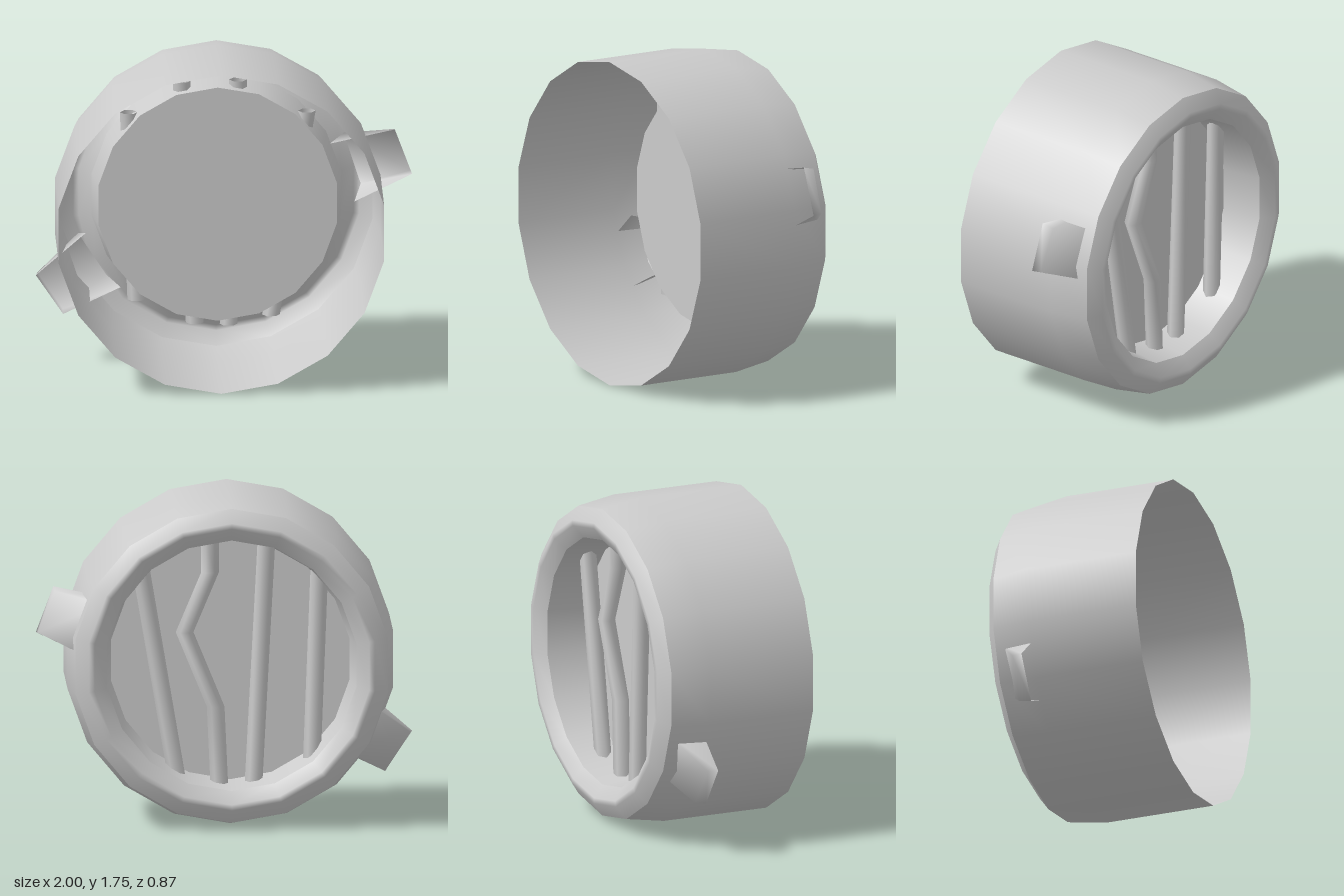
import * as THREE from 'three';

const CX = -0.035, CY = 0.88, SIDES = 18;
const material = new THREE.MeshStandardMaterial({ color: 0xcccccc, side: THREE.DoubleSide });

// Revolved ring around the z axis from [radius, z] points
function ring(name, profile) {
  const geo = new THREE.LatheGeometry(profile.map(([r, z]) => new THREE.Vector2(r, z)), SIDES);
  geo.rotateX(Math.PI / 2);
  const mesh = new THREE.Mesh(geo, material);
  mesh.position.set(CX, CY, 0);
  mesh.name = name;
  return mesh;
}

function indexedMesh(name, positions, index) {
  const geo = new THREE.BufferGeometry();
  geo.setAttribute('position', new THREE.Float32BufferAttribute(positions, 3));
  geo.setIndex(index);
  geo.computeVertexNormals();
  const mesh = new THREE.Mesh(geo, material);
  mesh.name = name;
  return mesh;
}

// Six-sided bar following [x, y] points, listed from top to bottom
function bar(points) {
  const n = 6, z = -0.24, positions = [], index = [];
  points.forEach(([x, y], row) => {
    for (let i = 0; i < n; i++) {
      const a = (i / n) * Math.PI * 2;
      positions.push(x + 0.047 * Math.cos(a), y, z + 0.045 * Math.sin(a));
      if (row > 0) {
        const j = (i + 1) % n, a0 = (row - 1) * n, b0 = row * n;
        index.push(a0 + i, a0 + j, b0 + i, a0 + j, b0 + j, b0 + i);
      }
    }
  });
  return indexedMesh('grilleBar', positions, index);
}

// Hollow sloping lug, open to the front: four front corners, four back corners
function lug(name, front, back) {
  const positions = [...front, ...back].flat();
  const index = [4, 5, 6, 4, 6, 7]; // sloping back
  for (let i = 0; i < 3; i++) { // two sides and the outer end
    index.push(i, i + 1, i + 5, i, i + 5, i + 4);
  }
  return indexedMesh(name, positions, index);
}

export function createModel() {
  const model = new THREE.Group();
  model.name = 'housing';

  // Shell, rounded back rim, and recess closed by a disc
  model.add(
    ring('outerWall', [[0.877, 0.435], [0.877, -0.17], [0.842, -0.385]]),
    ring('backRim', [[0.842, -0.385], [0.77, -0.435], [0.74, -0.435], [0.672, -0.385]]),
    ring('recessWall', [[0.672, -0.385], [0.642, -0.165]]),
    ring('recessDisc', [[0.642, -0.165], [0, -0.165]])
  );

  // Bars across the recess, one of them bent
  const grille = new THREE.Group();
  grille.name = 'grille';
  const bars = [
    [[0.44, 1.37], [0.25, 0.25]],
    [[0.075, 1.545], [0.075, 1.36], [0.21, 1.04], [0.045, 0.64], [0.025, 0.2]],
    [[-0.225, 1.54], [-0.155, 0.21]],
    [[-0.505, 1.37], [-0.465, 0.34]],
  ];
  bars.forEach((points) => grille.add(bar(points)));
  model.add(grille);

  // Side lugs
  const f = -0.175;
  model.add(
    lug('leftLug',
      [[0.56, 1.205, f], [0.905, 1.28, f], [0.997, 1.035, f], [0.69, 0.885, f]],
      [[0.64, 1.21, -0.37], [0.9, 1.265, -0.24], [0.99, 1.04, -0.23], [0.73, 0.93, -0.37]]),
    lug('rightLug',
      [[-0.55, 0.425, f], [-0.855, 0.28, f], [-1.0, 0.495, f], [-0.735, 0.725, f]],
      [[-0.62, 0.44, -0.37], [-0.855, 0.29, -0.24], [-0.99, 0.495, -0.23], [-0.77, 0.67, -0.37]])
  );
  return model;
}
